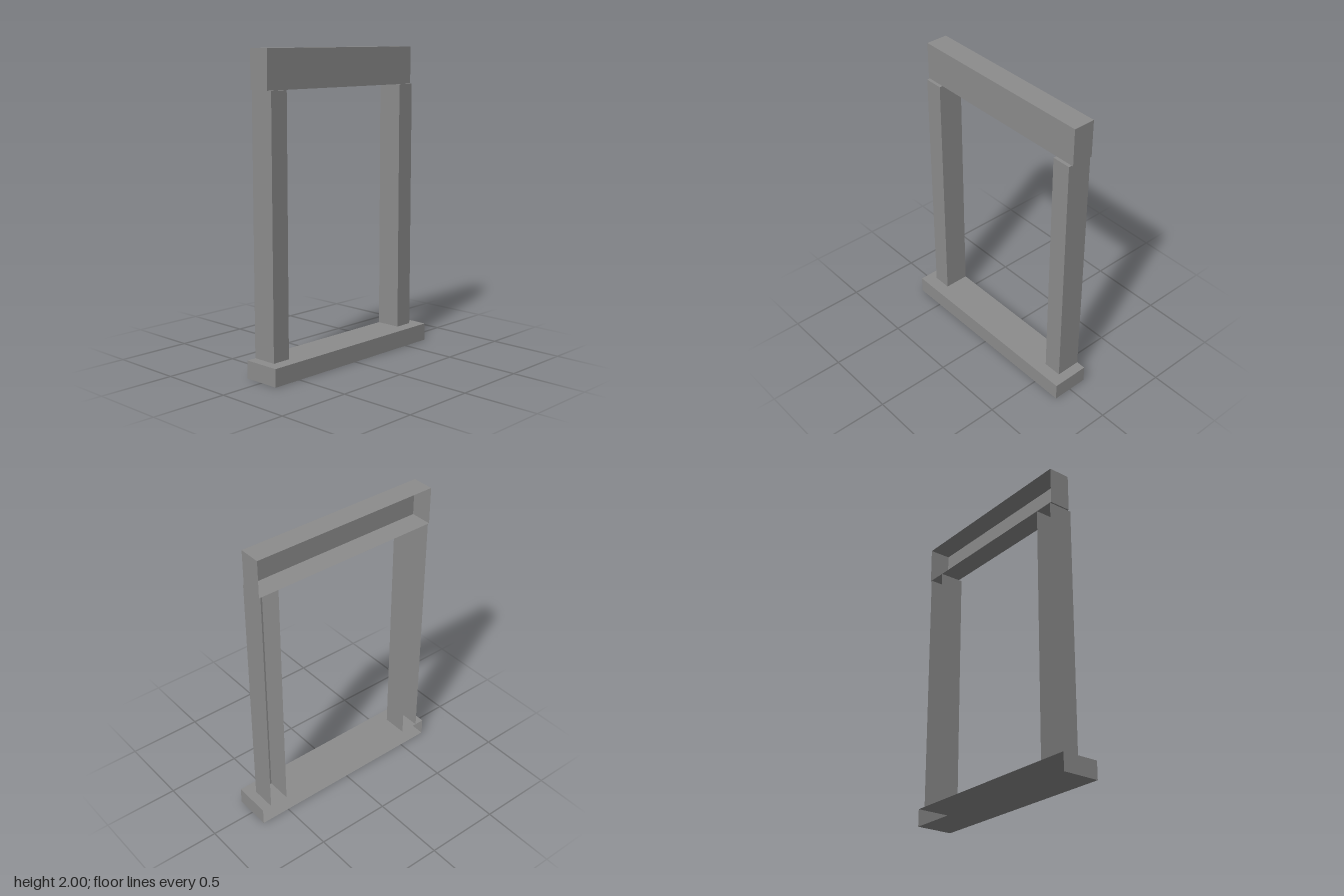
import * as THREE from 'three';

// Box from its bounds, left open on the -x side that sits against the wall
function openBackBox([x0, x1], [y0, y1], [z0, z1]) {
  const geometry = new THREE.BoxGeometry(x1 - x0, y1 - y0, z1 - z0);
  const index = Array.from(geometry.index.array);
  index.splice(6, 6); // the -x face
  geometry.setIndex(index);
  geometry.clearGroups();
  geometry.translate((x0 + x1) / 2, (y0 + y1) / 2, (z0 + z1) / 2);
  return geometry;
}

export function createModel() {
  const model = new THREE.Group();
  model.name = 'windowFrame';

  const stone = new THREE.MeshStandardMaterial({ color: 0x8c8c8c, side: THREE.DoubleSide });
  stone.name = 'grey stone';

  const add = (name, x, y, z) => {
    const mesh = new THREE.Mesh(openBackBox(x, y, z), stone);
    mesh.name = name;
    model.add(mesh);
  };

  const back = -0.125, sillTop = 0.115, lintelBottom = 1.755;

  // Wide sill at the foot
  add('sill', [back, 0.125], [0, sillTop], [-0.7, 0.7]);

  // Two upright jambs, slightly prouder than the lintel
  add('frontJamb', [back, 0.042], [sillTop, lintelBottom], [0.51, 0.635]);
  add('backJamb', [back, 0.042], [sillTop, lintelBottom], [-0.635, -0.51]);

  // Deep lintel across the top
  add('lintel', [back, 0.02], [lintelBottom, 2], [-0.645, 0.645]);

  return model;
}
